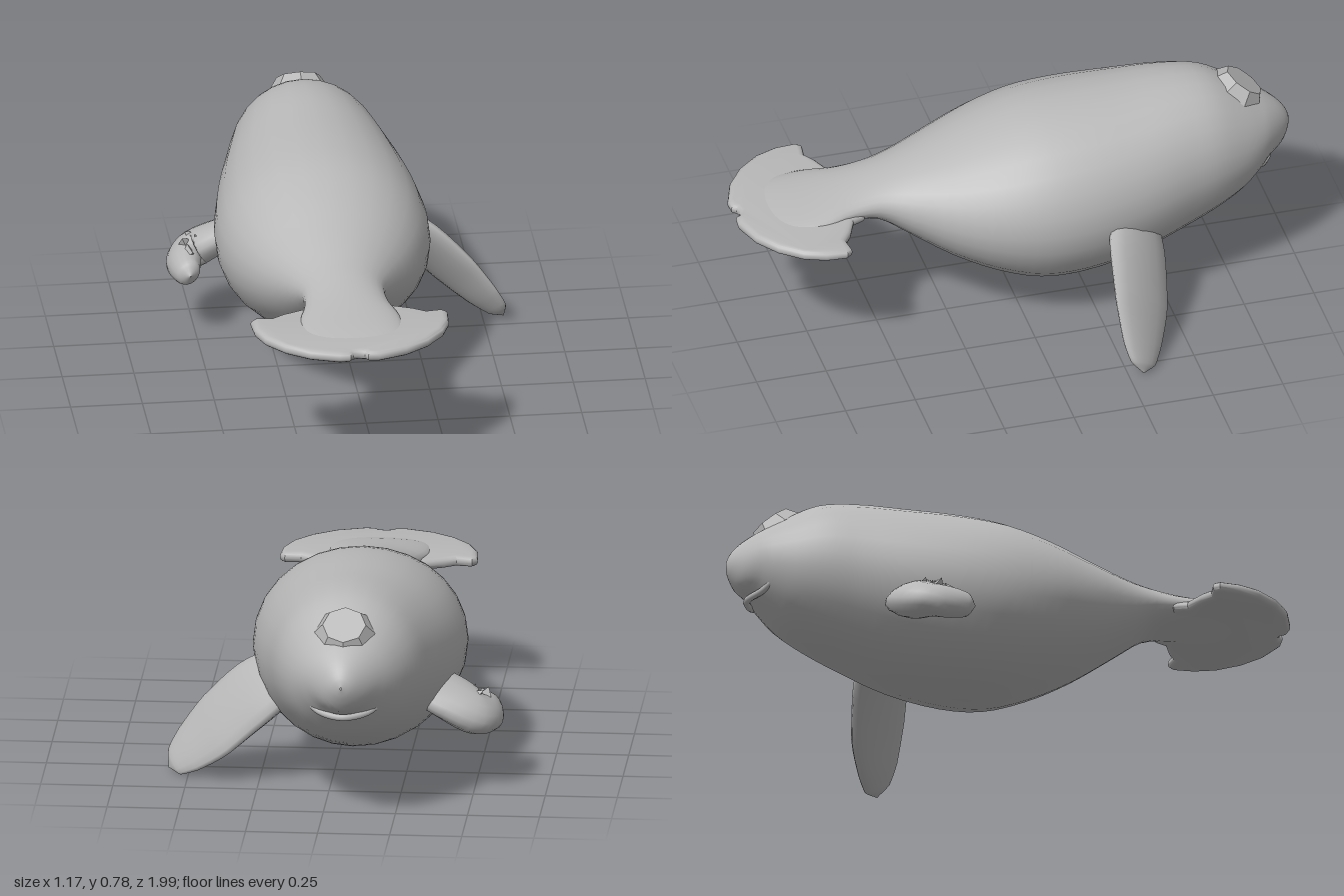
import * as THREE from 'three';
import { toCreasedNormals } from 'three/addons/utils/BufferGeometryUtils.js';

const V = (x, y, z) => new THREE.Vector3(x, y, z);
const MID = -0.08; // the body's own centre line

// Skin closed elliptical rings {c: centre, u, v: half axes}, with u x v along the run
function loft(rings, sides) {
  const pos = [], index = [];
  for (const { c, u, v } of rings) {
    for (let j = 0; j < sides; j++) {
      const t = (j / sides) * Math.PI * 2;
      const p = c.clone().addScaledVector(u, Math.cos(t)).addScaledVector(v, Math.sin(t));
      pos.push(p.x, p.y, p.z);
    }
  }
  for (let i = 0; i < rings.length - 1; i++) {
    for (let j = 0; j < sides; j++) {
      const k = (j + 1) % sides;
      const a = i * sides + j, b = i * sides + k, c = a + sides, d = b + sides;
      index.push(a, b, c, b, d, c);
    }
  }
  const g = new THREE.BufferGeometry();
  g.setAttribute('position', new THREE.Float32BufferAttribute(pos, 3));
  g.setIndex(index);
  g.computeVertexNormals();
  return g;
}

// Flat paddle along a path: chord direction, half widths and half thicknesses by station
function paddle(points, chord, widths, thickness, steps = 20) {
  const path = new THREE.CatmullRomCurve3(points);
  const size = new THREE.CatmullRomCurve3(widths.map((w, i) => V(w, thickness[i], 0)));
  const rings = [];
  for (let i = 0; i <= steps; i++) {
    const t = i / steps;
    const d = path.getTangent(t);
    const u = chord.clone().addScaledVector(d, -chord.dot(d)).normalize();
    const v = d.clone().cross(u);
    const s = size.getPoint(t);
    rings.push({ c: path.getPoint(t), u: u.multiplyScalar(Math.max(s.x, 0.001)), v: v.multiplyScalar(Math.max(s.y, 0.001)) });
  }
  return loft(rings, 16);
}

export function createModel() {
  const group = new THREE.Group();
  const skin = new THREE.MeshStandardMaterial({ color: 0xb8b8b8 });
  skin.name = 'grey skin';
  const add = (name, geometry, material = skin) => {
    const m = new THREE.Mesh(geometry, material);
    m.name = name;
    group.add(m);
    return m;
  };

  // Body: [z, top, bottom, half width] from snout to tail root
  const sections = [
    [-1.0, 0.53, 0.52, 0.002], [-0.99, 0.56, 0.485, 0.035], [-0.96, 0.6, 0.435, 0.075],
    [-0.91, 0.64, 0.405, 0.125], [-0.87, 0.665, 0.365, 0.16], [-0.8, 0.71, 0.3, 0.205],
    [-0.7, 0.762, 0.245, 0.25], [-0.58, 0.778, 0.195, 0.285], [-0.4, 0.773, 0.135, 0.335],
    [-0.2, 0.765, 0.105, 0.368], [-0.05, 0.748, 0.113, 0.368], [0.1, 0.705, 0.165, 0.335],
    [0.25, 0.65, 0.245, 0.27], [0.4, 0.602, 0.35, 0.185], [0.5, 0.577, 0.42, 0.145],
    [0.6, 0.553, 0.445, 0.148], [0.7, 0.533, 0.455, 0.175], [0.82, 0.512, 0.465, 0.17],
    [0.92, 0.488, 0.475, 0.12],
  ];
  const topCurve = new THREE.CatmullRomCurve3(sections.map(([z, t]) => V(0, t, z)));
  const lowCurve = new THREE.CatmullRomCurve3(sections.map(([z, , b, w]) => V(w, b, z)));
  const rings = [];
  const steps = (sections.length - 1) * 3;
  for (let i = 0; i <= steps; i++) {
    const a = topCurve.getPoint(i / steps), b = lowCurve.getPoint(i / steps);
    rings.push({
      c: V(MID, (a.y + b.y) / 2, b.z),
      u: V(Math.max(b.x, 0.001), 0, 0),
      v: V(0, Math.max((a.y - b.y) / 2, 0.001), 0),
    });
  }
  add('body', loft(rings, 28));

  // Tail fluke: mirrored rounded outline with a small notch behind
  const half = [[0.14, 0.56], [0.16, 0.605], [0.23, 0.635], [0.27, 0.662], [0.325, 0.655], [0.343, 0.675],
    [0.338, 0.75], [0.31, 0.825], [0.25, 0.9], [0.17, 0.958], [0.07, 0.993], [0.03, 0.99], [0.02, 0.975], [0, 0.97]];
  const outline = [...half, ...half.slice(0, -1).reverse().map(([x, z]) => [-x, z])];
  const fluke = new THREE.ExtrudeGeometry(new THREE.Shape(outline.map(([x, z]) => new THREE.Vector2(x, z))), {
    depth: 0.008, bevelEnabled: true, bevelThickness: 0.015, bevelSize: 0.02, bevelOffset: -0.02, bevelSegments: 3,
  });
  fluke.rotateX(Math.PI / 2).translate(MID, 0.486, 0);
  add('tailFluke', toCreasedNormals(fluke, 0.7));

  // Spread flipper on the left side
  add('leftFlipper', paddle(
    [V(0.17, 0.38, -0.38), V(0.28, 0.3, -0.36), V(0.4, 0.185, -0.34), V(0.5, 0.085, -0.315), V(0.55, 0.035, -0.305), V(0.572, 0.012, -0.3)],
    V(0.42, 0.49, 0.77),
    [0.12, 0.142, 0.137, 0.1, 0.062, 0], [0.045, 0.042, 0.034, 0.026, 0.018, 0]));

  // Curled flipper on the right side: a root that bends back into a rounded tip
  add('rightFlipper', paddle(
    [V(-0.33, 0.36, -0.385), V(-0.42, 0.315, -0.4), V(-0.49, 0.275, -0.41), V(-0.53, 0.26, -0.37), V(-0.535, 0.255, -0.3), V(-0.53, 0.255, -0.25), V(-0.527, 0.255, -0.222)],
    V(0.35, 0.45, 0.8),
    [0.11, 0.115, 0.1, 0.075, 0.06, 0.045, 0], [0.05, 0.06, 0.065, 0.055, 0.05, 0.038, 0], 28));

  // Creased skin folds where the flipper curls
  for (const [x, y, z, turn] of [[-0.5, 0.325, -0.4, 0.3], [-0.53, 0.315, -0.36, 1.4], [-0.48, 0.325, -0.35, 2.3], [-0.52, 0.305, -0.31, 3.4]]) {
    const fold = add('flipperFold', new THREE.TetrahedronGeometry(0.035));
    fold.position.set(x, y, z);
    fold.rotation.set(turn, turn * 2, 0);
  }

  // Raised faceted blowhole on the sloping forehead
  const blowhole = new THREE.CylinderGeometry(0.075, 0.105, 0.045, 8).toNonIndexed();
  blowhole.computeVertexNormals();
  blowhole.rotateX(-0.65).translate(MID, 0.69, -0.828);
  add('blowhole', blowhole);

  // Mouth: a slim lip curving under the snout
  const lip = new THREE.CatmullRomCurve3([V(-0.13, 0.44, -0.85), V(-0.085, 0.408, -0.885), V(0, 0.398, -0.925), V(0.085, 0.408, -0.885), V(0.13, 0.44, -0.85)]);
  add('mouthLip', new THREE.TubeGeometry(lip, 24, 0.012, 8).translate(MID, 0, 0));

  return group;
}
